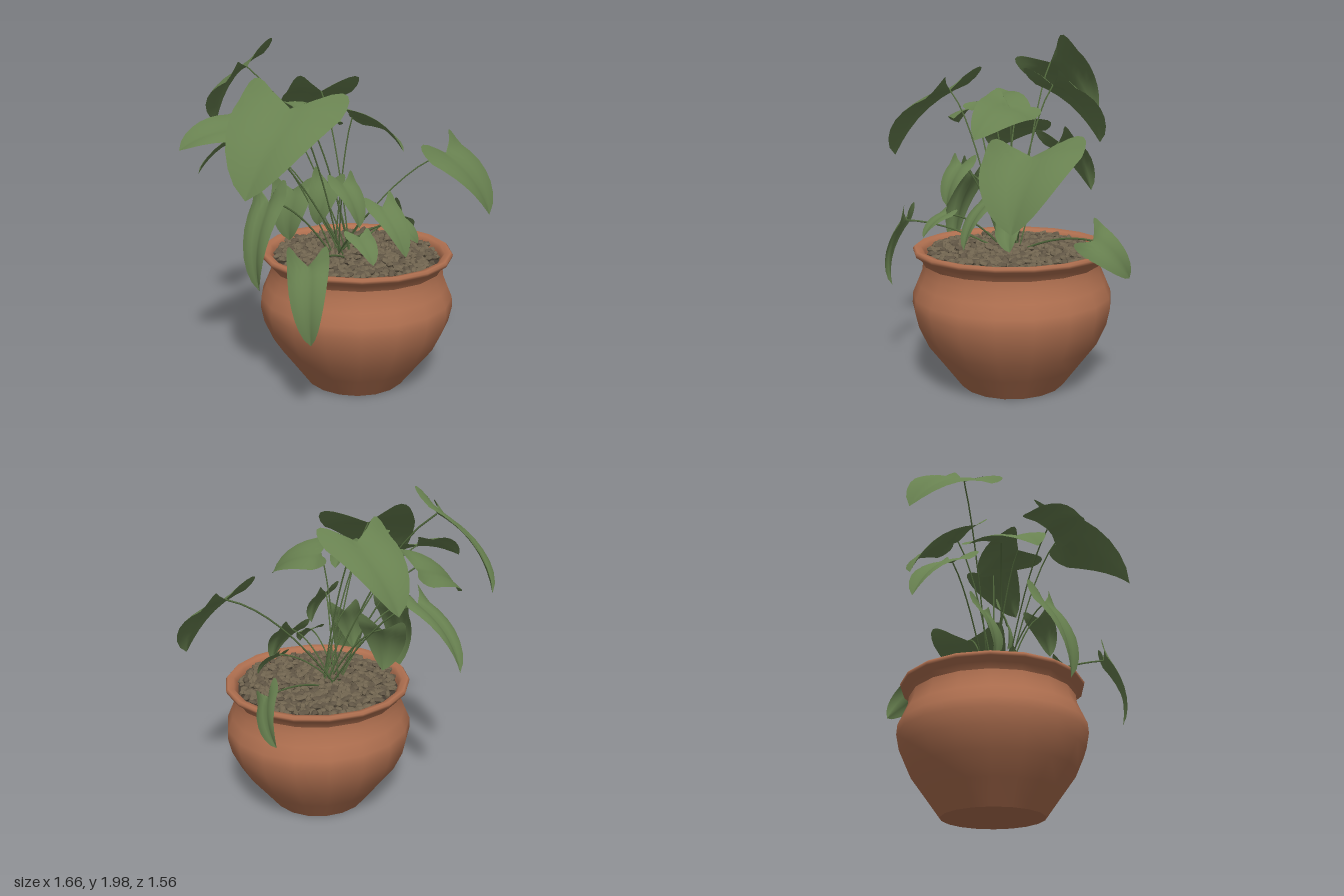
import * as THREE from 'three';
import { mergeGeometries } from 'three/addons/utils/BufferGeometryUtils.js';

// Leaves: notch where the stalk joins, tip, half width, roll about the midrib
const LEAVES = [
  [[-0.21, 1.82, -0.38], [-0.18, 1.46, -0.77], 0.2, 0.53],
  [[-0.4, 1.65, 0.26], [-0.79, 1.25, 0.4], 0.29, 0.19],
  [[0.56, 1.34, 0.49], [0.68, 1, 0.73], 0.27, -0.1],
  [[0.11, 1.68, -0.09], [0.17, 1.34, -0.43], 0.22, -0.06],
  [[-0.31, 1.46, -0.17], [-0.64, 1.26, -0.26], 0.22, -0.35],
  [[-0.1, 1.33, -0.35], [-0.1, 1, -0.65], 0.13, 0.2],
  [[-0.53, 1.53, -0.02], [-0.83, 1.43, -0.13], 0.15, 0.42],
  [[0.08, 1.56, 0.21], [0.16, 1.4, 0.53], 0.16, 0.45],
  [[-0.2, 1.59, 0.12], [0.1, 1.5, 0.08], 0.16, -0.36],
  [[-0.14, 1.24, 0.38], [-0.13, 1.02, 0.5], 0.1, 0],
  [[0.14, 1.07, 0.4], [0.14, 0.82, 0.59], 0.1, -0.2],
  [[-0.5, 0.89, 0.52], [-0.55, 0.5, 0.6], 0.11, -0.34],
  [[-0.41, 1.13, 0.08], [-0.53, 0.66, 0.14], 0.13, -0.38],
  [[0.62, 0.88, 0.11], [0.73, 0.67, -0.06], 0.11, -1.13],
  [[-0.1, 1.12, -0.1], [-0.16, 0.83, -0.06], 0.15, -0.28],
  [[0.27, 0.95, 0.38], [0.37, 0.83, 0.47], 0.09, -0.5],
  [[-0.04, 1.2, 0.14], [-0.1, 0.95, 0.12], 0.1, 0.78],
  [[-0.13, 0.97, 0.5], [-0.16, 0.85, 0.64], 0.08, 0],
];

// Heart-shaped blade, swept from the notch round the lobes to the tip
function leafGeometry(notch, tip, halfWidth, roll) {
  const midrib = tip.clone().sub(notch), len = midrib.length();
  const side = new THREE.Vector3(-midrib.z, 0, midrib.x).normalize();
  side.applyAxisAngle(midrib.clone().normalize(), -roll);
  const normal = side.clone().cross(midrib).normalize();
  const pos = [], idx = [], rows = 14, half = 4, cols = 2 * half + 1;
  for (let i = 0; i <= rows; i++) {
    const k = i / rows;
    const edgeU = Math.max(0, Math.sin(Math.PI * k ** 0.82)) ** 0.8;
    const edgeV = k - 0.95 * Math.sin(Math.PI * k) * (1 - k);
    const ribV = k ** 1.5;
    for (let j = -half; j <= half; j++) {
      const s = Math.abs(j) / half, u = edgeU * s, v = ribV + (edgeV - ribV) * s;
      // arched lengthwise, each half puffed up beside the vein
      const lift = len * (0.45 * Math.max(0, v) * (1 - v) + 0.16 * u * (1 - u));
      const p = notch.clone().addScaledVector(midrib, v)
        .addScaledVector(side, Math.sign(j) * u * halfWidth).addScaledVector(normal, lift);
      pos.push(p.x, p.y, p.z);
    }
  }
  for (let i = 0; i < rows; i++) {
    for (let j = 0; j < cols - 1; j++) {
      const a = i * cols + j, b = a + cols;
      idx.push(a, a + 1, b, a + 1, b + 1, b);
    }
  }
  const g = new THREE.BufferGeometry();
  g.setAttribute('position', new THREE.Float32BufferAttribute(pos, 3));
  g.setIndex(idx);
  g.computeVertexNormals();
  return g;
}

// Thin stalk rising from the crown and arching over to the leaf notch
function stemGeometry(end, i) {
  const a = i * 2.4;
  const base = new THREE.Vector3(0.04 + 0.05 * Math.cos(a), 0.74, 0.18 + 0.05 * Math.sin(a));
  const mid = base.clone().lerp(end, 0.55);
  mid.y = base.y + (end.y - base.y) * 0.8 + 0.04;
  return new THREE.TubeGeometry(new THREE.QuadraticBezierCurve3(base, mid, end), 10, 0.0055, 4);
}

function seeded(seed) {
  return () => {
    seed = (seed * 16807) % 2147483647;
    return seed / 2147483647;
  };
}

function material(name, color, extra = {}) {
  const m = new THREE.MeshStandardMaterial({ color, ...extra });
  m.name = name;
  return m;
}

export function createModel() {
  const model = new THREE.Group();
  const clay = material('terracotta', 0xb07050);
  const leafGreen = material('leafGreen', 0x688150, { side: THREE.DoubleSide });
  const stemGreen = material('stemGreen', 0x566e40);
  const soil = material('soil', 0x453c32);
  const stones = [
    material('pebbleBrown', 0x70644f, { flatShading: true }),
    material('pebbleDark', 0x615645, { flatShading: true }),
  ];
  const group = (name) => {
    const g = new THREE.Group();
    g.name = name;
    model.add(g);
    return g;
  };
  const add = (parent, name, geometry, mat) => {
    const mesh = new THREE.Mesh(geometry, mat);
    mesh.name = name;
    parent.add(mesh);
  };

  // Pot: separate lathes keep the base edge crisp, the rim is softly rolled
  const pot = group('pot');
  pot.position.set(0.11, 0, 0.225);
  const lathe = (name, points, mat) => {
    const profile = points.map(([r, y]) => new THREE.Vector2(r, y));
    add(pot, name, new THREE.LatheGeometry(profile, 18), mat);
  };
  lathe('potBase', [[0, 0.005], [0.3, 0.005]], clay);
  lathe('potBody', [[0.3, 0.005], [0.4, 0.14], [0.49, 0.26], [0.545, 0.38], [0.564, 0.47],
    [0.56, 0.53], [0.53, 0.6], [0.505, 0.66], [0.5, 0.71]], clay);
  lathe('potRim', [[0.5, 0.71], [0.52, 0.745], [0.552, 0.768], [0.556, 0.785], [0.545, 0.797],
    [0.51, 0.79], [0.49, 0.765], [0.475, 0.7]], clay);
  lathe('soil', [[0.485, 0.74], [0, 0.75]], soil);

  // Pebbles: angular, elongated stones scattered evenly on a spiral
  const rnd = seeded(71);
  const piles = [[], []];
  const count = 480;
  for (let i = 0; i < count; i++) {
    const r = 0.465 * Math.sqrt((i + 0.5) / count), a = i * 2.39996;
    const g = new THREE.IcosahedronGeometry(1, 0);
    g.scale(0.018 + 0.009 * rnd(), 0.014 + 0.006 * rnd(), 0.03 + 0.014 * rnd());
    g.rotateX((rnd() - 0.5) * 0.9);
    g.rotateY(rnd() * Math.PI);
    g.translate(r * Math.cos(a), 0.76 + 0.022 * rnd(), r * Math.sin(a));
    piles[i % 3 === 0 ? 1 : 0].push(g);
  }
  piles.forEach((p, i) => add(pot, i ? 'pebblesDark' : 'pebbles', mergeGeometries(p), stones[i]));

  // Plant: one stalk and one blade per leaf
  const plant = group('plant');
  LEAVES.forEach(([n, t, halfWidth, roll], i) => {
    const notch = new THREE.Vector3(...n), tip = new THREE.Vector3(...t);
    add(plant, 'leaf' + (i + 1), leafGeometry(notch, tip, halfWidth, roll), leafGreen);
    add(plant, 'stem' + (i + 1), stemGeometry(notch, i), stemGreen);
  });
  return model;
}
